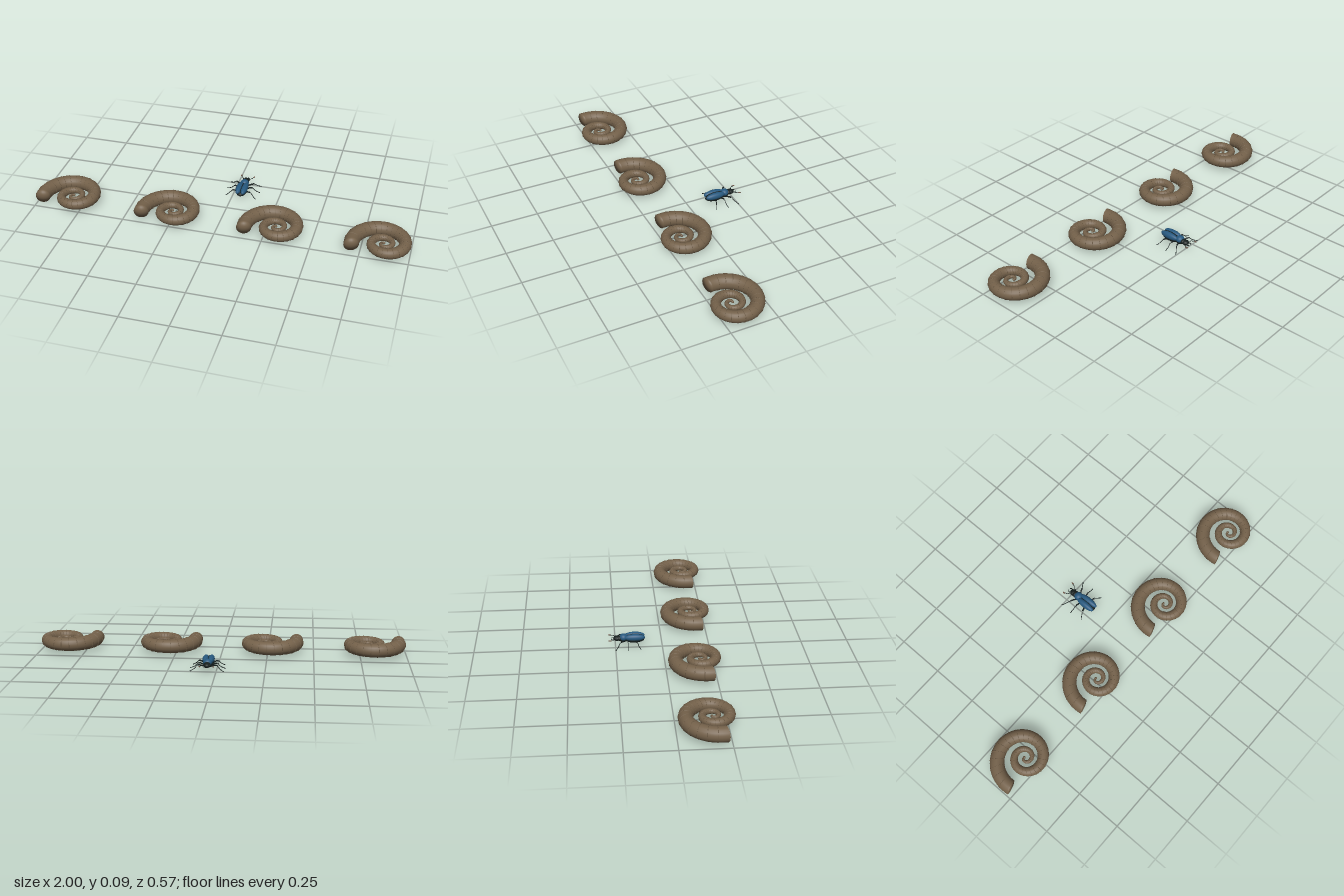
import * as THREE from 'three';
import { mergeGeometries } from 'three/addons/utils/BufferGeometryUtils.js';
import { ParametricGeometry } from 'three/addons/geometries/ParametricGeometry.js';

const material = (name, color) => {
  const m = new THREE.MeshStandardMaterial({ color });
  m.name = name;
  return m;
};

function add(parent, name, geometry, mat) {
  const mesh = new THREE.Mesh(geometry, mat);
  mesh.name = name;
  parent.add(mesh);
  return mesh;
}

// Shell spiral: angle in degrees measured from the mouth inwards
const END = 795, STEP = 15;
const whorlDistance = (phi) => 0.167 * Math.exp(-0.00252 * phi) * (1 - 0.8 * Math.pow(phi / 800, 8));
const tubeRadius = (phi) => 0.04 * Math.exp(-Math.pow(phi / 530, 1.5));
const spiralAngle = (phi) => THREE.MathUtils.degToRad(phi - 16);

function shellTube() {
  return new ParametricGeometry((u, v, target) => {
    const phi = u * END, a = spiralAngle(phi), t = -v * Math.PI * 2;
    const r = tubeRadius(phi) * 0.97;
    const d = whorlDistance(phi) + r * Math.cos(t);
    target.set(-d * Math.cos(a), r * Math.sin(t), -d * Math.sin(a));
  }, 160, 20);
}

// Place a geometry lying across the tube at a given spiral angle
function acrossTube(geometry, phi) {
  const a = spiralAngle(phi), d = whorlDistance(phi);
  return geometry.rotateY(Math.PI - a).translate(-d * Math.cos(a), 0, -d * Math.sin(a));
}

// Raised rings along the coil
function shellRibs() {
  const parts = [];
  for (let phi = STEP; phi < END - 10; phi += STEP) {
    const r = tubeRadius(phi);
    parts.push(acrossTube(new THREE.TorusGeometry(r * 0.965, 0.0005 + r * 0.035, 6, 20), phi));
  }
  return mergeGeometries(parts);
}

// Shallow cap that keeps rounded normals so it shades softly
function shellMouth() {
  const cap = new THREE.SphereGeometry(0.0395, 20, 14);
  const p = cap.attributes.position;
  for (let i = 0; i < p.count; i++) p.setZ(i, p.getZ(i) * 0.14);
  return acrossTube(cap, 0);
}

function shellTip() {
  const a = spiralAngle(END), d = whorlDistance(END), r = tubeRadius(END) * 1.05;
  return ellipsoid(-d * Math.cos(a), 0, -d * Math.sin(a), r, r, r);
}

function ellipsoid(x, y, z, rx, ry, rz) {
  return new THREE.SphereGeometry(1, 24, 16).scale(rx, ry, rz).translate(x, y, z);
}

// Thin limb through a few points
function limb(points, radius) {
  const curve = new THREE.CatmullRomCurve3(points.map((p) => new THREE.Vector3(...p)), false, 'centripetal');
  return new THREE.TubeGeometry(curve, 14, radius, 6);
}

export function createModel() {
  const model = new THREE.Group();
  model.name = 'shellsAndBeetle';
  const shellBrown = material('shell brown', 0x74614a);
  const blue = material('wing case blue', 0x27597f);
  const black = material('beetle black', 0x17201f);
  const tipBrown = material('antenna brown', 0x6a4f40);

  // Row of four coiled shells
  const tube = shellTube(), ribs = shellRibs(), mouth = shellMouth(), tip = shellTip();
  for (let i = 0; i < 4; i++) {
    const shell = new THREE.Group();
    shell.name = 'shell' + (i + 1);
    add(shell, 'coil', tube, shellBrown);
    add(shell, 'ribs', ribs, shellBrown);
    add(shell, 'mouth', mouth, shellBrown);
    add(shell, 'tip', tip, shellBrown);
    shell.position.set(-0.798 + i * 0.555, 0.052, 0.176);
    model.add(shell);
  }

  // Beetle, facing -z
  const beetle = new THREE.Group();
  beetle.name = 'beetle';
  beetle.position.x = 0.047;
  model.add(beetle);
  add(beetle, 'underbody', ellipsoid(0, 0.026, -0.147, 0.0285, 0.018, 0.054), black);
  add(beetle, 'thorax', ellipsoid(0, 0.038, -0.206, 0.023, 0.0195, 0.022), blue);
  add(beetle, 'thoraxUnderside', ellipsoid(0, 0.026, -0.206, 0.0195, 0.015, 0.021), black);
  add(beetle, 'neck', ellipsoid(0, 0.033, -0.229, 0.018, 0.014, 0.015), black);
  add(beetle, 'head', ellipsoid(0, 0.032, -0.241, 0.017, 0.013, 0.02), black);

  for (const s of [-1, 1]) {
    const side = s < 0 ? 'right' : 'left';
    add(beetle, side + 'WingCase', ellipsoid(s * 0.0145, 0.0405, -0.146, 0.0172, 0.019, 0.055), blue);
    add(beetle, side + 'Eye', ellipsoid(s * 0.015, 0.034, -0.245, 0.005, 0.005, 0.005), black);
    add(beetle, side + 'Jaw', limb([[s * 0.008, 0.03, -0.252], [s * 0.012, 0.03, -0.265], [s * 0.004, 0.03, -0.272]], 0.0022), black);
    add(beetle, side + 'Antenna', limb([[s * 0.012, 0.034, -0.25], [s * 0.027, 0.036, -0.26], [s * 0.034, 0.036, -0.277]], 0.0016), black);
    add(beetle, side + 'AntennaTip', ellipsoid(s * 0.036, 0.036, -0.279, 0.0036, 0.0028, 0.0085), tipBrown);

    // Legs: hip z, knee z, foot x and z
    const legs = [
      ['FrontLeg', -0.208, -0.224, 0.088, -0.25],
      ['MiddleLeg', -0.178, -0.182, 0.093, -0.185],
      ['HindLeg', -0.145, -0.134, 0.084, -0.115],
    ];
    for (const [name, hip, knee, footX, footZ] of legs) {
      const k = [s * 0.05, 0.03, knee];
      add(beetle, side + name + 'Thigh', limb([[s * 0.014, 0.018, hip], [s * 0.032, 0.026, (hip + knee) / 2], k], 0.004), black);
      add(beetle, side + name + 'Shin', limb([k, [s * 0.068, 0.012, (knee + footZ) / 2], [s * footX, 0.002, footZ]], 0.002), black);
    }
  }
  // Dark seam between the wing cases
  add(beetle, 'seam', ellipsoid(0, 0.0405, -0.146, 0.002, 0.016, 0.05), black);
  return model;
}
